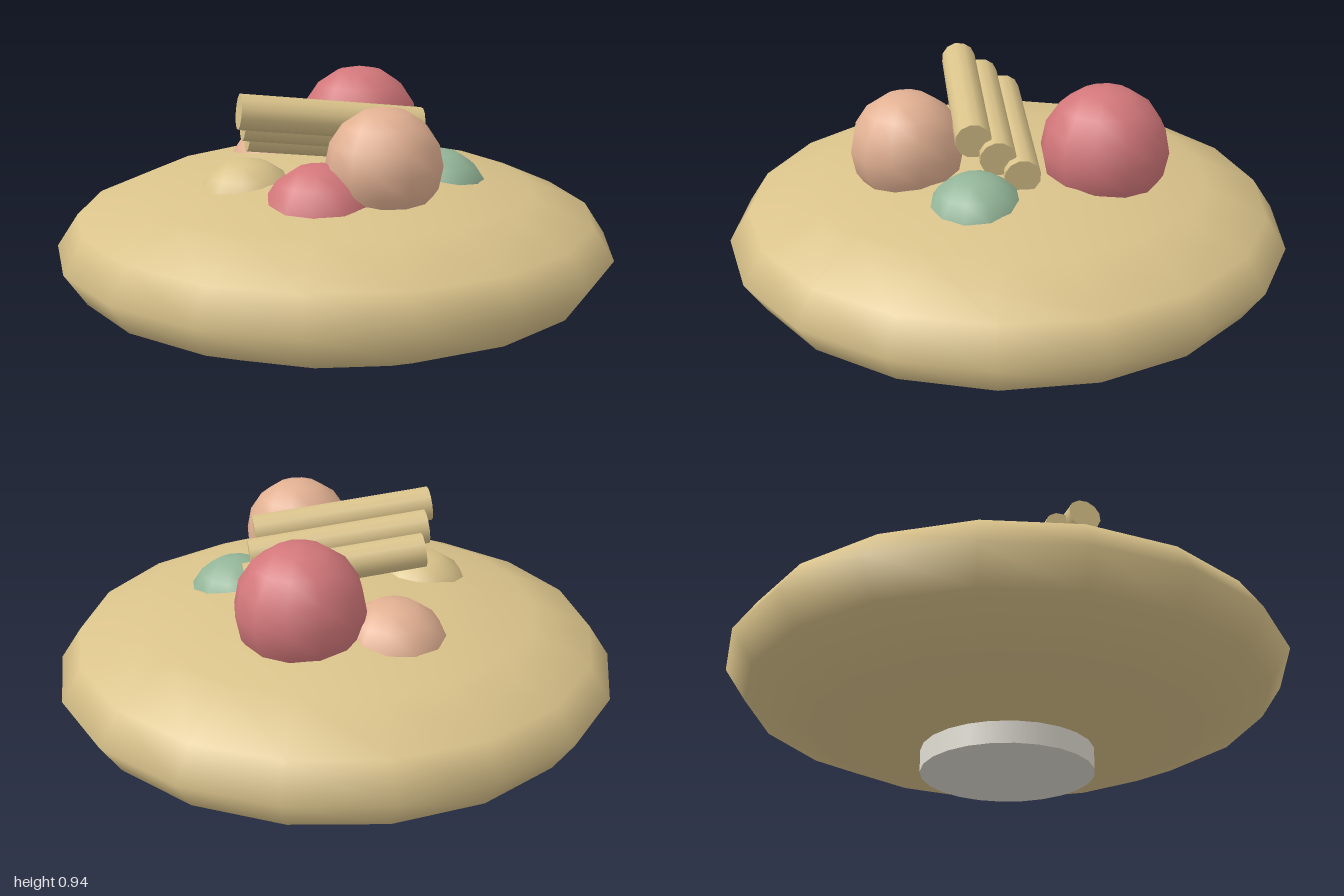
import * as THREE from 'three';

const mat = (color) => new THREE.MeshStandardMaterial({ color });
const tan = mat(0xd9c28a), red = mat(0xd2777a), peach = mat(0xe1b092);
const green = mat(0x93b598), cream = mat(0xe0ddd2);

export function createModel() {
  const model = new THREE.Group();
  const add = (name, geometry, material) => {
    const mesh = new THREE.Mesh(geometry, material);
    mesh.name = name;
    model.add(mesh);
    return mesh;
  };

  // Wide flattened bowl body
  const body = add('body', new THREE.SphereGeometry(1, 18, 8).rotateY(Math.PI / 2).scale(1, 0.3, 1), tan);
  body.position.y = 0.36;

  // Short round foot under the body
  add('foot', new THREE.CylinderGeometry(0.305, 0.305, 0.12, 24), cream).position.y = 0.06;

  // Scoops: radius, centre, colour; the low ones are half sunk into the body
  const scoops = [
    ['largeScoop', 0.224, [0.06, 0.715, -0.354], red],
    ['frontScoop', 0.198, [0.193, 0.718, 0.315], peach],
    ['sunkenFrontScoop', 0.204, [-0.015, 0.53, 0.375], red],
    ['sunkenRightScoop', 0.183, [0.368, 0.53, 0.03], green],
    ['sunkenLeftScoop', 0.188, [-0.285, 0.517, 0.21], tan],
    ['sunkenBackScoop', 0.196, [-0.245, 0.53, -0.278], peach],
  ];
  for (const [name, r, centre, material] of scoops) {
    add(name, new THREE.SphereGeometry(r, 12, 8), material).position.set(...centre);
  }

  // Three parallel wafer sticks, stepping down towards the back
  const up = new THREE.Vector3(0, 1, 0);
  for (let i = 0; i < 3; i++) {
    const a = new THREE.Vector3(-0.303, 0.878 - 0.057 * i, 0.253 - 0.084 * i);
    const b = new THREE.Vector3(0.303, 0.803 - 0.057 * i, 0.053 - 0.084 * i);
    const stick = add('waferStick' + (i + 1), new THREE.CylinderGeometry(0.062, 0.062, a.distanceTo(b), 12), tan);
    stick.position.copy(a).lerp(b, 0.5);
    stick.quaternion.setFromUnitVectors(up, b.clone().sub(a).normalize());
  }
  return model;
}
